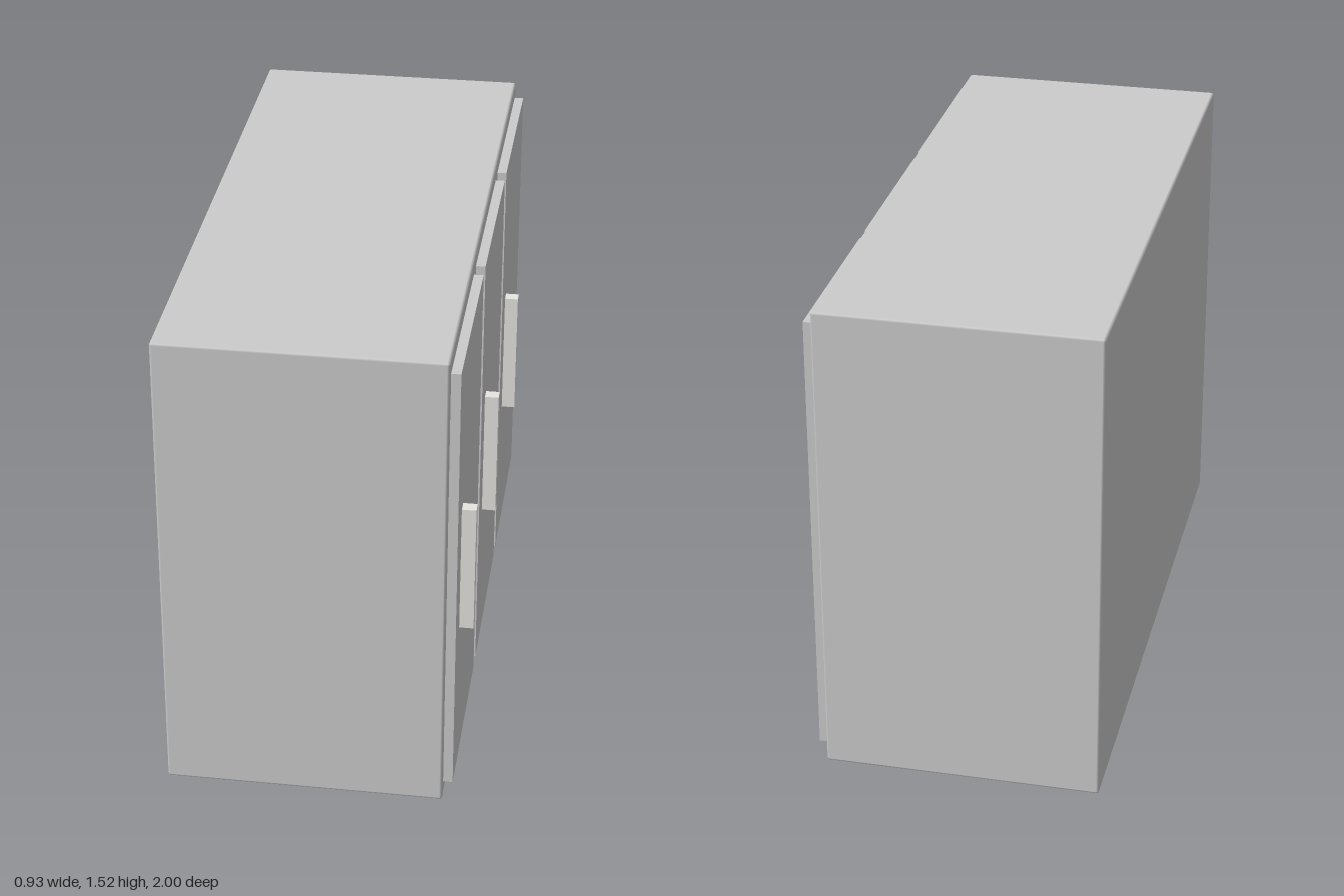
import * as THREE from 'three';
import { RoundedBoxGeometry } from 'three/addons/geometries/RoundedBoxGeometry.js';

const grey = new THREE.MeshStandardMaterial({ color: 0xcccccc });
const pale = new THREE.MeshStandardMaterial({ color: 0xe6e5e0 });

// Place a geometry as a named mesh
function part(name, geometry, material, x, y, z) {
  const mesh = new THREE.Mesh(geometry, material);
  mesh.name = name;
  mesh.position.set(x, y, z);
  return mesh;
}

export function createModel() {
  const cabinet = new THREE.Group();
  cabinet.name = 'cabinet';

  // Carcass with finely eased edges
  const depth = 0.853, height = 1.524;
  cabinet.add(part('carcass', new RoundedBoxGeometry(depth, height, 2, 1, 0.008), grey, -0.0365, height / 2, 0));

  // Three doors on the +x side, each with a vertical bar handle
  const doorGeometry = new THREE.BoxGeometry(0.034, 1.428, 0.61);
  const handleGeometry = new THREE.BoxGeometry(0.044, 0.416, 0.037);
  for (let i = -1; i <= 1; i++) {
    const door = new THREE.Group();
    door.name = 'door' + (i + 2);
    door.position.z = -i * 0.667;
    door.add(part('panel', doorGeometry, grey, 0.402, 0.764, 0));
    door.add(part('handle', handleGeometry, pale, 0.44, 0.764, 0.188));
    cabinet.add(door);
  }

  return cabinet;
}
